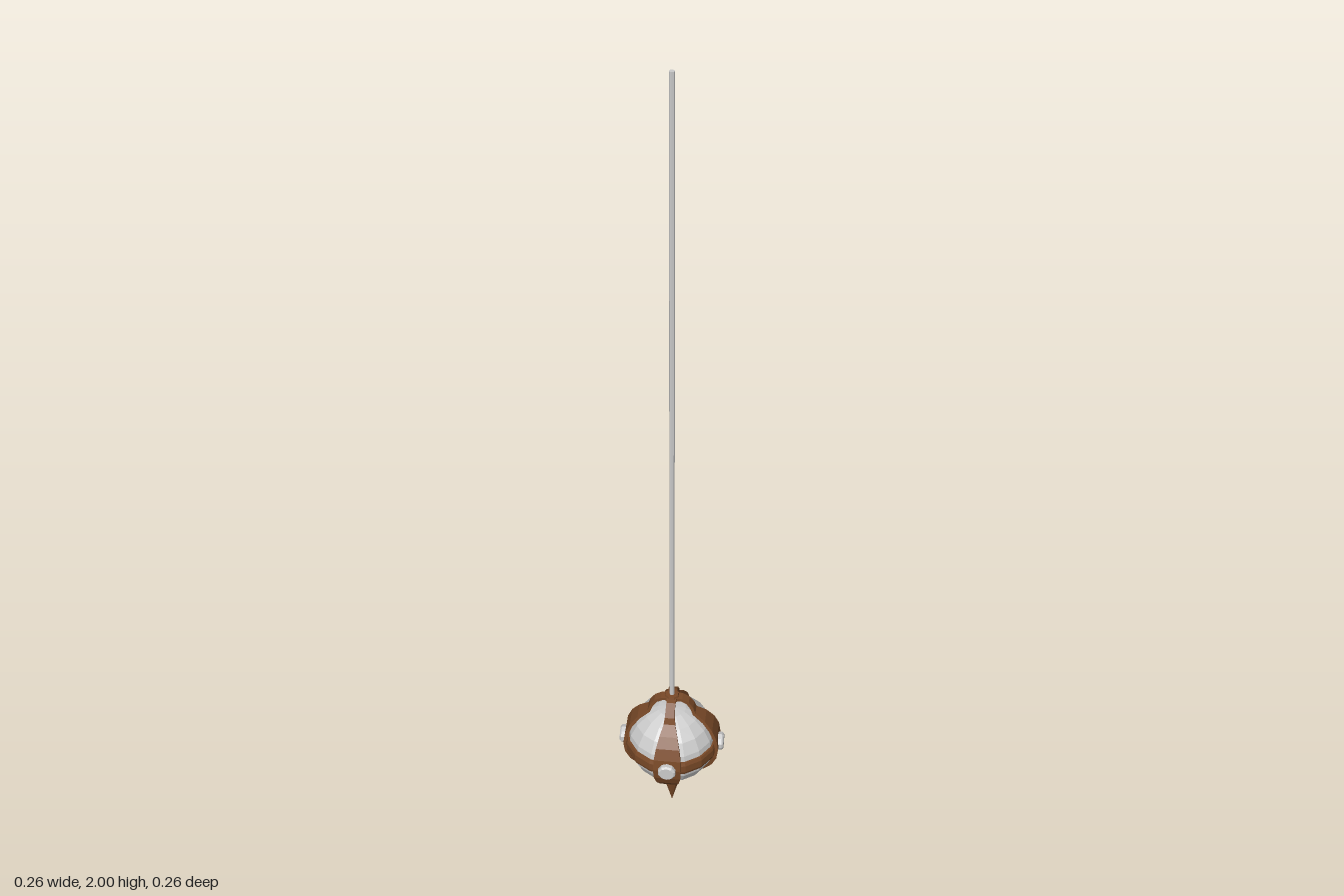
import * as THREE from 'three';

const grey = new THREE.MeshStandardMaterial({ color: 0xcccccc, flatShading: true });
const brown = new THREE.MeshStandardMaterial({ color: 0x7a4a28, flatShading: true });
const CY = 0.222; // height of the globe's centre

function add(parent, name, geometry, material, x = 0, y = 0, z = 0) {
  const mesh = new THREE.Mesh(geometry, material);
  mesh.name = name;
  mesh.position.set(x, y, z);
  parent.add(mesh);
  return mesh;
}

// Closed strap swept down a (radius, height, half width) path, facing +z
function strapGeometry(path, thickness) {
  const pos = [], index = [];
  path.forEach(([r, y, w], i) => {
    const a = path[Math.max(i - 1, 0)], b = path[Math.min(i + 1, path.length - 1)];
    const n = new THREE.Vector2(a[1] - b[1], b[0] - a[0]).normalize().multiplyScalar(thickness);
    pos.push(-w, y, r, w, y, r, w, y - n.y, r - n.x, -w, y - n.y, r - n.x);
    if (i === path.length - 1) return;
    for (let j = 0; j < 4; j++) {
      const p = i * 4 + j, q = i * 4 + (j + 1) % 4;
      index.push(p, p + 4, q + 4, p, q + 4, q);
    }
  });
  const e = (path.length - 1) * 4;
  index.push(0, 1, 2, 0, 2, 3, e, e + 2, e + 1, e, e + 3, e + 2);
  const g = new THREE.BufferGeometry();
  g.setAttribute('position', new THREE.Float32BufferAttribute(pos, 3));
  g.setIndex(index);
  const flat = g.toNonIndexed();
  flat.computeVertexNormals();
  return flat;
}

const lathe = (points, sides) =>
  new THREE.LatheGeometry(points.map(([r, y]) => new THREE.Vector2(r, y)), sides);

export function createModel() {
  const model = new THREE.Group();
  model.name = 'hangingLantern';

  // Globe
  add(model, 'globe', new THREE.SphereGeometry(0.11, 16, 10), grey, 0, CY, 0).scale.y = 0.98;

  // Raised band around the middle
  add(model, 'equatorBand', lathe([
    [0.1, -0.018], [0.112, -0.018], [0.115, -0.01], [0.115, 0.01], [0.112, 0.018], [0.1, 0.018],
  ], 16), brown, 0, CY, 0);

  // Four straps that arch together above the globe, each with a rivet
  const path = [[0.008, 0.366, 0.012], [0.026, 0.363, 0.011], [0.042, 0.354, 0.011], [0.053, 0.338, 0.012]];
  for (let deg = 60; deg >= -60; deg -= 15) {
    const a = THREE.MathUtils.degToRad(deg);
    const low = deg < 0 ? 0.011 : 0.014;
    const w = low + (0.034 - low) * Math.cos(a * 1.5);
    path.push([0.117 * Math.cos(a), CY + 0.115 * Math.sin(a), w]);
  }
  const strap = strapGeometry(path, 0.008);
  const rivet = lathe([[0, 0], [0.022, 0], [0.022, 0.01], [0.018, 0.014], [0, 0.014]], 10);
  for (let i = 0; i < 4; i++) {
    const side = new THREE.Group();
    side.name = 'strapAssembly' + (i + 1);
    side.rotation.y = i * Math.PI / 2;
    add(side, 'strap', strap, brown);
    add(side, 'rivet', rivet, grey, 0, CY, 0.114).rotation.x = Math.PI / 2;
    model.add(side);
  }

  // Hub where the straps meet
  add(model, 'hub', new THREE.CylinderGeometry(0.016, 0.02, 0.014, 8), brown, 0, 0.363, 0)
    .rotation.y = Math.PI / 8;

  // Hanging rod
  add(model, 'rod', new THREE.CylinderGeometry(0.006, 0.006, 1.64, 8), grey, 0, 1.18, 0);

  // Turned finial underneath
  add(model, 'finial', lathe([
    [0, 0], [0.006, 0.024], [0.014, 0.055], [0.021, 0.082], [0.029, 0.091],
    [0.03, 0.102], [0.022, 0.111], [0.02, 0.122], [0, 0.122],
  ], 10), brown);

  return model;
}
